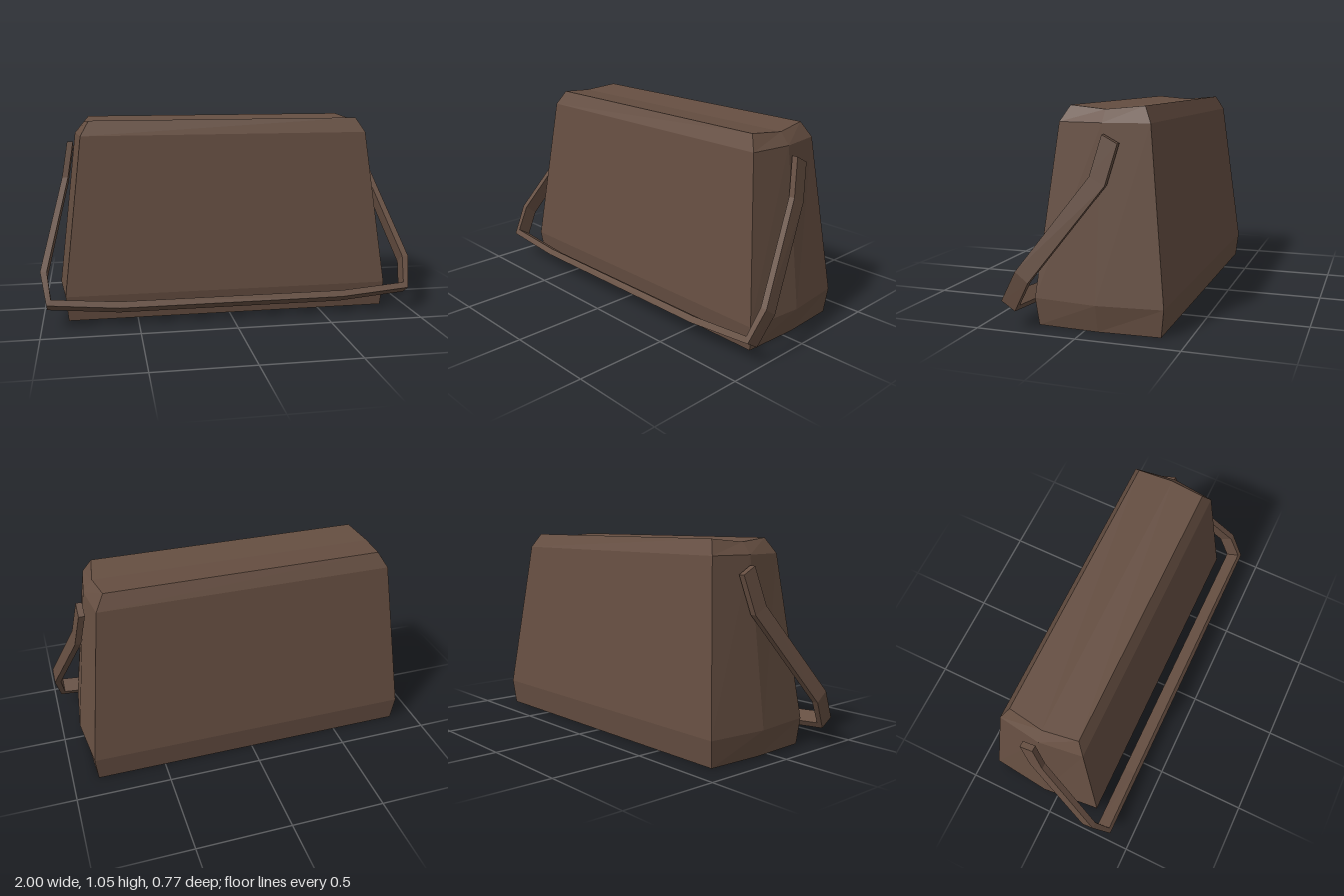
import * as THREE from 'three';

// Flat-shaded skin over matching rings; rings run counter-clockwise seen from the end.
// Each cap is a list of quads given as ring indices, facing the end of the loft.
function loft(rings, capQuads) {
  const pos = [];
  const quad = (a, b, c, d) => pos.push(...a, ...b, ...c, ...a, ...c, ...d);
  const n = rings[0].length;
  for (let k = 0; k < rings.length - 1; k++) {
    for (let i = 0; i < n; i++) {
      const j = (i + 1) % n;
      quad(rings[k][i], rings[k][j], rings[k + 1][j], rings[k + 1][i]);
    }
  }
  const first = rings[0], last = rings[rings.length - 1];
  for (const [a, b, c, d] of capQuads) {
    quad(last[a], last[b], last[c], last[d]);
    quad(first[d], first[c], first[b], first[a]);
  }
  const geo = new THREE.BufferGeometry();
  geo.setAttribute('position', new THREE.Float32BufferAttribute(pos, 3));
  geo.computeVertexNormals();
  return geo;
}

export function createModel() {
  const group = new THREE.Group();
  const leather = new THREE.MeshStandardMaterial({ color: 0x654e41, flatShading: true });
  leather.name = 'brown leather';

  const add = (name, geo) => {
    const mesh = new THREE.Mesh(geo, leather);
    mesh.name = name;
    group.add(mesh);
  };

  // Bag body: six-sided rings, with the side gussets bulging at mid depth
  const midZ = -0.065;
  const levels = [
    // y, gusset y, half depth, corner x, gusset x
    [0, 0, 0.305, 0.865, 0.88],
    [0.135, 0.135, 0.32, 0.877, 0.91],
    [0.97, 0.97, 0.225, 0.775, 0.805],
    [1.047, 1.03, 0.185, 0.73, 0.755],
  ];
  const bodyRings = levels.map(([y, my, d, x, mx]) => [
    [x, y, midZ + d], [mx, my, midZ], [x, y, midZ - d],
    [-x, y, midZ - d], [-mx, my, midZ], [-x, y, midZ + d],
  ]);
  add('bagBody', loft(bodyRings, [[5, 0, 1, 4], [4, 1, 2, 3]]));

  // Strap: hangs from one side, crosses the front, and mirrors to the other side
  const half = [
    // outer x, inner x, outer front y/z, outer back y/z, inner shift y/z
    [0.85, 0.818, 0.92, -0.08, 0.88, -0.155, 0, 0],
    [0.882, 0.85, 0.73, -0.03, 0.69, -0.105, 0, 0],
    [1.0, 0.966, 0.29, 0.295, 0.24, 0.23, 0, 0],
    [0.97, 0.948, 0.135, 0.385, 0.09, 0.315, 0.026, -0.016],
    [0.6, 0.6, 0.102, 0.384, 0.057, 0.315, 0.03, -0.018],
  ];
  const side = (s) => half.map(([ox, ix, fy, fz, by, bz, dy, dz]) => [
    [s * ox, fy, fz], [s * ix, fy + dy, fz + dz],
    [s * ix, by + dy, bz + dz], [s * ox, by, bz],
  ]);
  add('strap', loft([...side(1), ...side(-1).reverse()], [[0, 1, 2, 3]]));

  return group;
}
